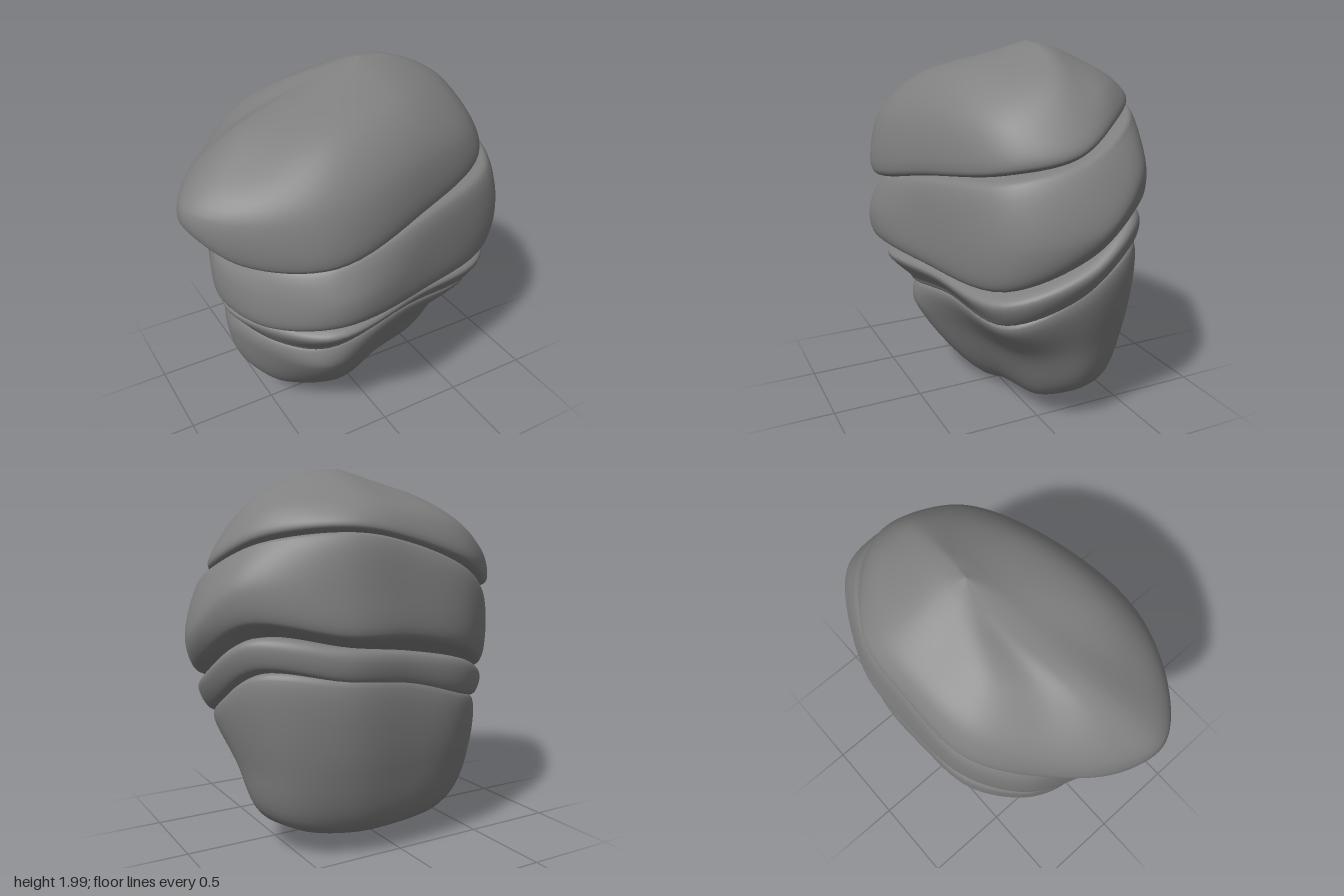
import * as THREE from 'three';

const AROUND = 96, ROWS = 8;
const V = (p) => new THREE.Vector3(...p);

// Shrinks a ring towards its own middle and shifts it vertically
function inset(ring, scale, dy) {
  const c = middle(ring);
  return ring.map(([x, y, z]) => [c[0] + (x - c[0]) * scale, y + dy, c[2] + (z - c[2]) * scale]);
}

function middle(ring) {
  return [0, 1, 2].map((k) => ring.reduce((s, p) => s + p[k], 0) / ring.length);
}

// Smooth closed skin through rings listed bottom to top, closed at two poles
function loft(rings, bottom, top) {
  const loops = rings.map((r) => new THREE.CatmullRomCurve3(r.map(V), true));
  const rows = (rings.length + 1) * ROWS;
  const pos = [], index = [];
  for (let i = 0; i < AROUND; i++) {
    const column = new THREE.CatmullRomCurve3(
      [V(bottom), ...loops.map((l) => l.getPoint(i / AROUND)), V(top)]);
    for (let j = 0; j <= rows; j++) pos.push(...column.getPoint(j / rows).toArray());
  }
  const id = (i, j) => (i % AROUND) * (rows + 1) + j;
  for (let i = 0; i < AROUND; i++) {
    for (let j = 0; j < rows; j++) {
      const a = id(i, j), b = id(i, j + 1), c = id(i + 1, j), d = id(i + 1, j + 1);
      if (j > 0) index.push(a, b, c);
      if (j < rows - 1) index.push(b, d, c);
    }
  }
  const geo = new THREE.BufferGeometry();
  geo.setAttribute('position', new THREE.Float32BufferAttribute(pos, 3));
  geo.setIndex(index);
  geo.computeVertexNormals();
  return geo;
}

// Every ring runs right, front, left, back (twelve points)
const baseRings = [
  [[.62, .19, -.17], [.49, .13, -.02], [.15, .07, .02], [-.06, .01, .03], [-.43, .14, .05], [-.57, .24, -.06],
    [-.57, .25, -.17], [-.48, .2, -.3], [-.28, .16, -.42], [0, .14, -.46], [.26, .14, -.45], [.52, .17, -.36]],
  [[.75, .5, -.12], [.64, .45, .11], [.2, .43, .26], [-.3, .46, .41], [-.54, .48, .22], [-.68, .53, -.04],
    [-.67, .53, -.18], [-.57, .5, -.36], [-.33, .5, -.54], [0, .5, -.59], [.34, .5, -.58], [.65, .52, -.42]],
  [[.82, .8, -.05], [.7, .66, .27], [.2, .66, .38], [-.32, .57, .4], [-.53, .59, .25], [-.66, .64, .01],
    [-.66, .68, -.15], [-.57, .73, -.37], [-.34, .8, -.57], [.02, .9, -.62], [.39, .94, -.61], [.75, .97, -.38]],
];

const bandRings = [
  [[.86, .85, -.05], [.73, .72, .3], [.2, .72, .41], [-.33, .64, .43], [-.55, .66, .28], [-.68, .7, .03],
    [-.68, .74, -.14], [-.6, .79, -.37], [-.35, .86, -.58], [.02, .95, -.62], [.39, .99, -.61], [.77, 1.04, -.38]],
  [[.9, .96, -.06], [.75, .81, .33], [.2, .81, .48], [-.35, .78, .55], [-.59, .76, .31], [-.73, .78, .05],
    [-.71, .8, -.14], [-.61, .87, -.38], [-.35, .98, -.59], [.02, 1.05, -.63], [.39, 1.09, -.62], [.8, 1.14, -.37]],
];

const thickRings = [
  [[.93, 1.08, -.06], [.78, .92, .33], [.2, .92, .55], [-.36, .93, .63], [-.66, .88, .38], [-.77, .88, .06],
    [-.73, .9, -.14], [-.62, .97, -.38], [-.35, 1.1, -.59], [.02, 1.18, -.64], [.39, 1.2, -.63], [.81, 1.26, -.38]],
  [[.97, 1.2, -.08], [.81, 1.12, .34], [.2, 1.1, .56], [-.36, 1.06, .64], [-.66, 1.05, .38], [-.77, 1.1, .06],
    [-.74, 1.1, -.14], [-.63, 1.16, -.4], [-.36, 1.32, -.6], [.03, 1.38, -.64], [.4, 1.4, -.62], [.83, 1.42, -.38]],
  [[.87, 1.47, -.05], [.74, 1.38, .33], [.2, 1.31, .53], [-.36, 1.2, .58], [-.61, 1.17, .38], [-.72, 1.18, .06],
    [-.71, 1.21, -.14], [-.62, 1.31, -.38], [-.36, 1.46, -.58], [.02, 1.59, -.61], [.36, 1.64, -.59], [.74, 1.59, -.35]],
];

const capRings = [
  [[.83, 1.53, -.02], [.69, 1.46, .29], [.2, 1.38, .51], [-.38, 1.28, .61], [-.78, 1.31, .4], [-.95, 1.43, .18],
    [-.9, 1.4, -.05], [-.69, 1.41, -.32], [-.38, 1.53, -.57], [0, 1.65, -.61], [.34, 1.71, -.58], [.7, 1.66, -.3]],
  [[.77, 1.66, -.04], [.63, 1.64, .27], [.2, 1.65, .47], [-.36, 1.57, .56], [-.77, 1.54, .39], [-.94, 1.54, .18],
    [-.88, 1.55, -.03], [-.66, 1.59, -.29], [-.35, 1.7, -.51], [0, 1.77, -.55], [.3, 1.8, -.52], [.65, 1.77, -.27]],
  [[.6, 1.85, -.05], [.5, 1.83, .14], [.18, 1.85, .31], [-.28, 1.79, .38], [-.54, 1.75, .23], [-.62, 1.77, .08],
    [-.6, 1.77, -.03], [-.46, 1.78, -.16], [-.25, 1.84, -.32], [0, 1.87, -.37], [.23, 1.9, -.36], [.48, 1.89, -.2]],
  [[.34, 1.975, -.08], [.28, 1.97, -.03], [.16, 1.965, .01], [.03, 1.945, .03], [-.1, 1.915, .02], [-.16, 1.9, -.03],
    [-.14, 1.905, -.08], [-.08, 1.92, -.13], [.02, 1.95, -.17], [.1, 1.965, -.19], [.2, 1.975, -.19], [.3, 1.975, -.15]],
];

export function createModel() {
  const group = new THREE.Group();
  group.name = 'layeredRock';
  const material = new THREE.MeshStandardMaterial({ color: 0x808080 });

  // Each layer gets a rounded rim wherever it meets its neighbour
  const layer = (name, rings, bottom, top) => {
    const list = [...rings];
    if (!bottom) list.unshift(inset(rings[0], 0.95, -0.035));
    if (!top) list.push(inset(rings[rings.length - 1], 0.95, 0.035));
    const mesh = new THREE.Mesh(
      loft(list, bottom ?? middle(list[0]), top ?? middle(list[list.length - 1])), material);
    mesh.name = name;
    group.add(mesh);
  };

  layer('baseStone', baseRings, [0, 0.115, -0.2], null);
  layer('thinLayer', bandRings, null, null);
  layer('thickLayer', thickRings, null, null);
  layer('capStone', capRings, null, [0.15, 2, -0.09]);
  return group;
}
